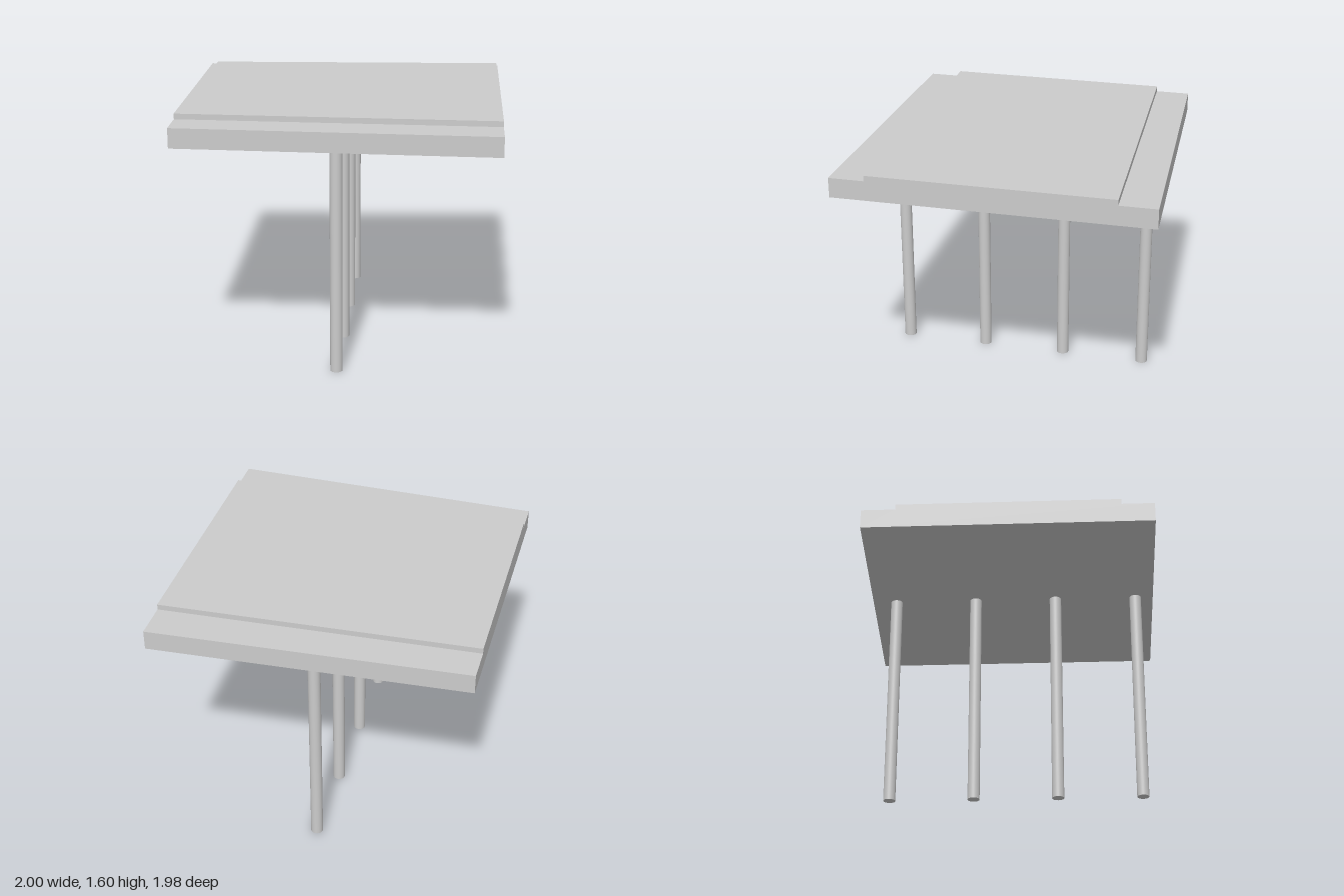
import * as THREE from 'three';

const material = new THREE.MeshStandardMaterial({ color: 0xcccccc });
const lerp = THREE.MathUtils.lerp;

// Plan corners of the slightly skewed deck, as [x, z]
const corners = {
  backLeft: [-0.975, -0.92], frontLeft: [-1, 0.91],
  backRight: [1, -0.99], frontRight: [0.975, 0.985],
};

// Deck: stepped section running back (u = 0) to front (u = 1), extruded across and skewed to plan
function createDeck() {
  const bottom = 1.44, ledge = 1.565, top = 1.6, back = 0.118, front = 0.887;
  const section = new THREE.Shape([
    [0, bottom], [1, bottom], [1, ledge], [front, ledge],
    [front, top], [back, top], [back, ledge], [0, ledge],
  ].map(([u, y]) => new THREE.Vector2(u, y)));
  const geometry = new THREE.ExtrudeGeometry(section, { depth: 1, bevelEnabled: false });
  const p = geometry.attributes.position;
  for (let i = 0; i < p.count; i++) {
    const u = p.getX(i), w = p.getZ(i);
    const [x, z] = [0, 1].map((k) => lerp(
      lerp(corners.backRight[k], corners.frontRight[k], u),
      lerp(corners.backLeft[k], corners.frontLeft[k], u), w));
    p.setXYZ(i, x, p.getY(i), z);
  }
  geometry.computeVertexNormals();
  const deck = new THREE.Mesh(geometry, material);
  deck.name = 'deck';
  return deck;
}

// Columns: one evenly spaced row, slanted like the deck's side edges
function createColumns() {
  const columns = new THREE.Group();
  columns.name = 'columns';
  const count = 4, height = 1.44;
  const geometry = new THREE.CylinderGeometry(0.039, 0.039, height, 32);
  for (let i = 0; i < count; i++) {
    const t = i / (count - 1);
    const column = new THREE.Mesh(geometry, material);
    column.name = `column${i + 1}`;
    column.position.set(lerp(-0.01, 0.013, t), height / 2, lerp(0.828, -0.796, t));
    columns.add(column);
  }
  return columns;
}

export function createModel() {
  const model = new THREE.Group();
  model.name = 'pierSection';
  model.add(createDeck(), createColumns());
  return model;
}
